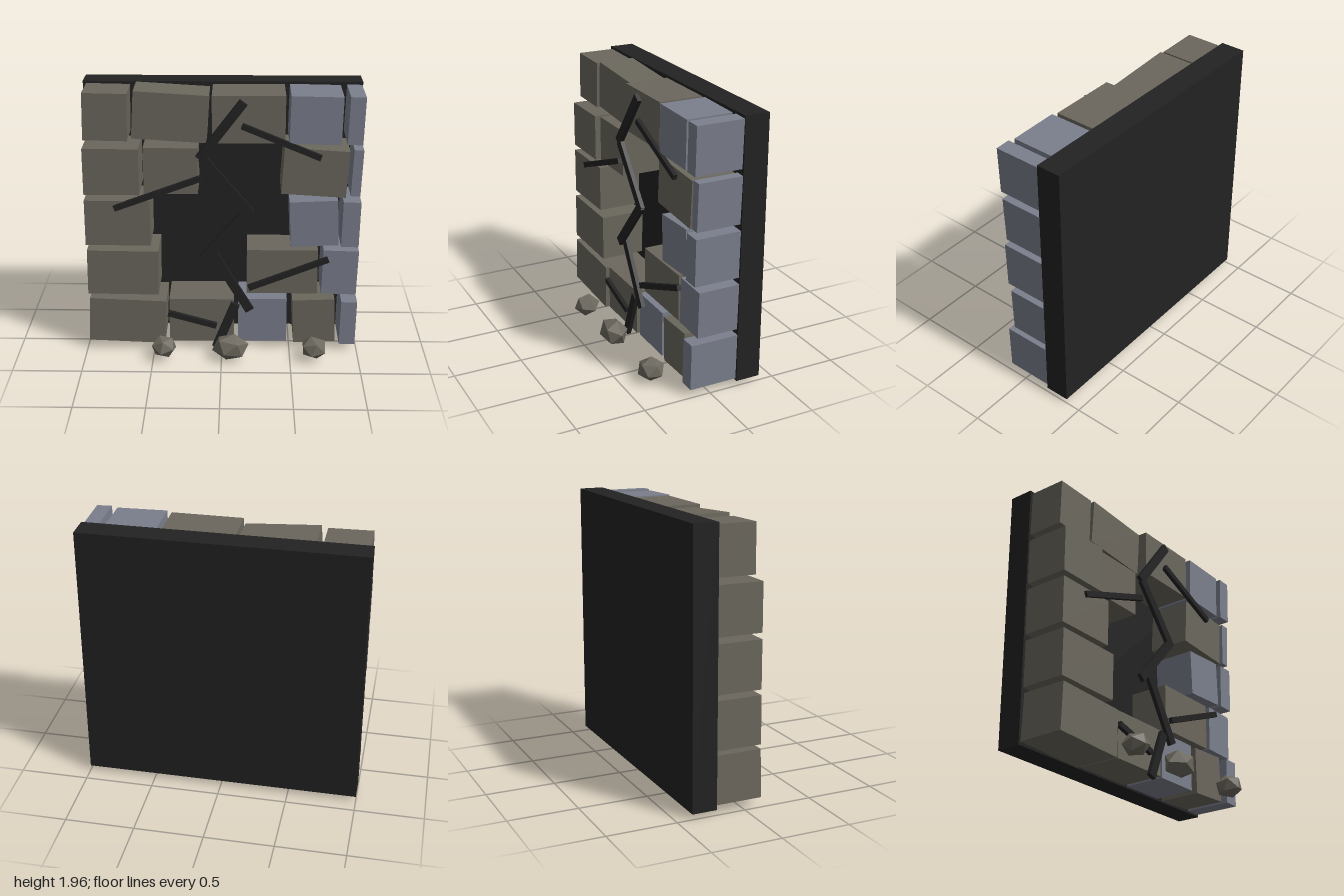
import * as THREE from 'three';

const mat = (name, color) => {
  const m = new THREE.MeshStandardMaterial({ color });
  m.name = name;
  return m;
};

export function createModel() {
  const wall = new THREE.Group();
  wall.name = 'crackedStoneWall';
  const stone = mat('brownStone', 0x6b675d);
  const slate = mat('blueStone', 0x7b7f8c);
  const dark = mat('darkMortar', 0x222222);
  const rubble = mat('rubbleStone', 0x6d695f);
  rubble.flatShading = true;

  const add = (name, geometry, material) => {
    const mesh = new THREE.Mesh(geometry, material);
    mesh.name = name;
    wall.add(mesh);
    return mesh;
  };

  // Mortar backing slab
  add('backingSlab', new THREE.BoxGeometry(2, 1.92, 0.18), dark).position.set(0, 1, -0.3);

  // Tilted blocks rooted in the slab: left edge, right edge, tilt, front z
  const addRow = (row, material, blocks) => blocks.forEach(([left, right, tilt, front], i) => {
    const box = new THREE.BoxGeometry(right - left, 0.342, front + 0.23);
    const block = add(`${material.name}Row${row + 1}Block${i + 1}`, box, material);
    block.position.set((left + right) / 2, 1.77 - 0.386 * row, (front - 0.23) / 2);
    block.rotation.z = tilt;
  });
  addRow(0, stone, [[-0.98, -0.665, -0.02, 0.065], [-0.63, -0.1, -0.06, 0.06], [-0.07, 0.443, 0, 0.11]]);
  addRow(1, stone, [[-0.985, -0.588, 0, 0.12], [-0.558, -0.172, 0, 0.09], [0.43, 0.89, -0.06, 0.11]]);
  addRow(2, stone, [[-0.985, -0.515, 0, 0.12]]);
  addRow(3, stone, [[-0.98, -0.462, -0.01, 0.125], [0.182, 0.698, 0, 0.09]]);
  addRow(4, stone, [[-0.977, -0.415, -0.04, 0.13], [-0.388, 0.088, 0, 0.11], [0.525, 0.835, 0.04, 0.11]]);
  addRow(0, slate, [[0.475, 0.838, -0.02, 0.125], [0.88, 0.988, -0.03, 0.135]]);
  addRow(1, slate, [[0.92, 0.988, -0.04, 0.115]]);
  addRow(2, slate, [[0.49, 0.835, 0.045, 0.11], [0.862, 0.988, -0.02, 0.125]]);
  addRow(3, slate, [[0.732, 0.988, -0.03, 0.095]]);
  addRow(4, slate, [[0.12, 0.478, 0, 0.1], [0.872, 0.988, -0.02, 0.145]]);

  // Cracks: straight bars from start to end
  const addCrack = (name, width, x1, y1, x2, y2) => {
    const length = Math.hypot(x2 - x1, y2 - y1);
    const bar = add(name, new THREE.BoxGeometry(length, width, 0.03), dark);
    bar.position.set((x1 + x2) / 2, (y1 + y2) / 2, 0.126);
    bar.rotation.z = Math.atan2(y2 - y1, x2 - x1);
  };
  [
    [0.15, 1.9, -0.16, 1.49],
    [-0.14, 1.495, 0.2, 1.09],
    [0.2, 1.12, -0.155, 0.71],
    [-0.055, 0.755, 0.205, 0.32],
    [0.1, 0.37, -0.04, 0.015],
  ].forEach((ends, i) => addCrack(`mainCrack${i + 1}`, 0.065, ...ends));
  [
    [-0.77, 1.115, -0.15, 1.345],
    [0.14, 1.73, 0.695, 1.5],
    [0.195, 0.5, 0.77, 0.73],
    [-0.395, 0.29, -0.04, 0.19],
  ].forEach((ends, i) => addCrack(`branchCrack${i + 1}`, 0.042, ...ends));

  // Fallen rubble: faceted rocks with centre x, width, height and turn
  [
    [-0.42, 0.18, 0.155, 0.5],
    [0.065, 0.26, 0.19, 1.3],
    [0.675, 0.19, 0.16, 2.4],
  ].forEach(([x, width, height, turn], i) => {
    const rock = new THREE.IcosahedronGeometry(0.53, 0);
    rock.rotateX(turn).rotateY(turn * 1.7).scale(width, height, 0.19);
    add(`rubble${i + 1}`, rock, rubble).position.set(x, 0.1, 0.29);
  });

  return wall;
}
